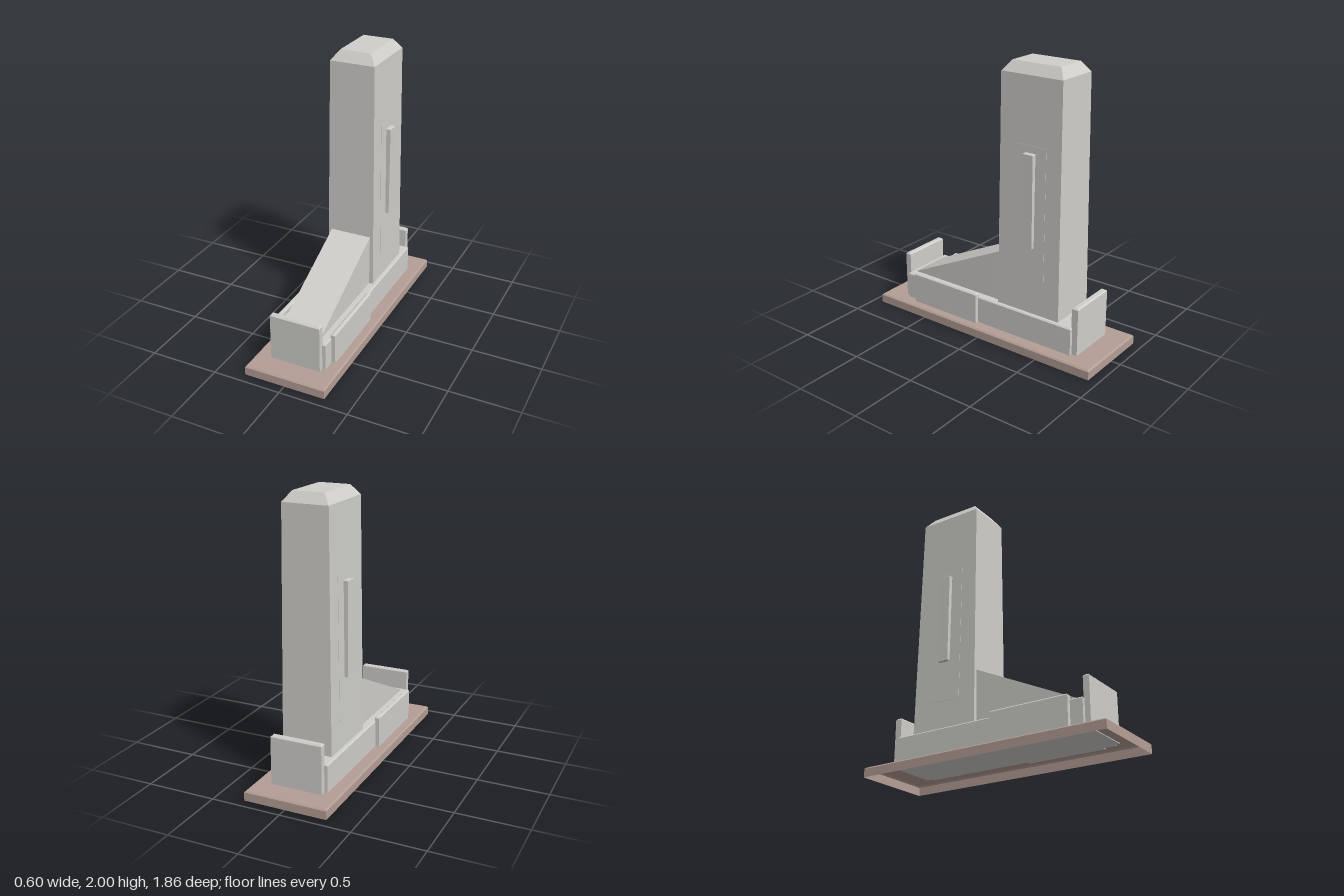
import * as THREE from 'three';

// Stacks rectangular sections [y, x0, x1, z0, z1] into a flat-faced solid.
function loft(sections, closedBelow = true) {
  const pos = [];
  const rings = sections.map(([y, x0, x1, z0, z1]) =>
    [[x0, y, z1], [x1, y, z1], [x1, y, z0], [x0, y, z0]]);
  const quad = (a, b, c, d) => pos.push(...a, ...b, ...c, ...a, ...c, ...d);
  for (let s = 0; s < rings.length - 1; s++) {
    const lo = rings[s], hi = rings[s + 1];
    for (let i = 0; i < 4; i++) {
      const j = (i + 1) % 4;
      quad(lo[i], lo[j], hi[j], hi[i]);
    }
  }
  const top = rings[rings.length - 1], bottom = rings[0];
  quad(...top);
  if (closedBelow) quad(bottom[3], bottom[2], bottom[1], bottom[0]);
  const geometry = new THREE.BufferGeometry();
  geometry.setAttribute('position', new THREE.Float32BufferAttribute(pos, 3));
  geometry.computeVertexNormals();
  return geometry;
}

// Upright block with a chamfer around its top edge.
function chamferBlock(x0, x1, y0, y1, z0, z1, c, closedBelow = true) {
  return loft([
    [y0, x0, x1, z0, z1],
    [y1 - c, x0, x1, z0, z1],
    [y1, x0 + c, x1 - c, z0 + c, z1 - c],
  ], closedBelow);
}

export function createModel() {
  const stone = new THREE.MeshStandardMaterial({ color: 0xcfceca });
  stone.name = 'pale stone';
  const paving = new THREE.MeshStandardMaterial({ color: 0xb49e96, side: THREE.DoubleSide });
  paving.name = 'reddish paving';

  const model = new THREE.Group();
  model.name = 'monument';
  const add = (name, geometry, material = stone) => {
    const mesh = new THREE.Mesh(geometry, material);
    mesh.name = name;
    model.add(mesh);
  };

  // Paved plinth, hollow underneath
  add('plinth', chamferBlock(-0.3, 0.3, 0, 0.07, -0.93, 0.93, 0.01, false), paving);

  // Long base block
  add('base', chamferBlock(-0.21, 0.21, 0.065, 0.27, -0.725, 0.73, 0.008));

  // Tapering pillar with a bevelled cap
  add('pillar', loft([
    [0.26, -0.182, 0.182, -0.607, -0.1],
    [1.93, -0.164, 0.164, -0.592, -0.115],
    [2, -0.112, 0.112, -0.542, -0.167],
  ]));

  // Sloping buttress in front of the pillar
  add('buttress', loft([
    [0.27, -0.152, 0.152, -0.15, 0.7],
    [0.653, -0.152, 0.152, -0.15, -0.104],
  ]));

  // End slabs
  add('frontSlab', chamferBlock(-0.186, 0.186, 0.065, 0.42, 0.724, 0.768, 0.01));
  add('backSlab', chamferBlock(-0.186, 0.186, 0.065, 0.42, -0.766, -0.718, 0.01));

  // Parts repeated on both flanks
  for (const [side, s] of [['left', 1], ['right', -1]]) {
    const span = (a, b) => (s > 0 ? [a, b] : [-b, -a]);
    add(side + 'SideSlab', chamferBlock(...span(0.205, 0.238), 0.065, 0.3, 0.06, 0.64, 0.009));
    // Thin panel following the taper of the pillar
    add(side + 'Panel', loft([
      [0.47, ...span(0.175, 0.1817), -0.48, -0.23],
      [1.47, ...span(0.164, 0.1709), -0.48, -0.23],
    ]));
    // Upright bar on the panel
    add(side + 'Bar', chamferBlock(...span(0.165, 0.204), 0.76, 1.42, -0.397, -0.317, 0.004));
  }
  return model;
}
